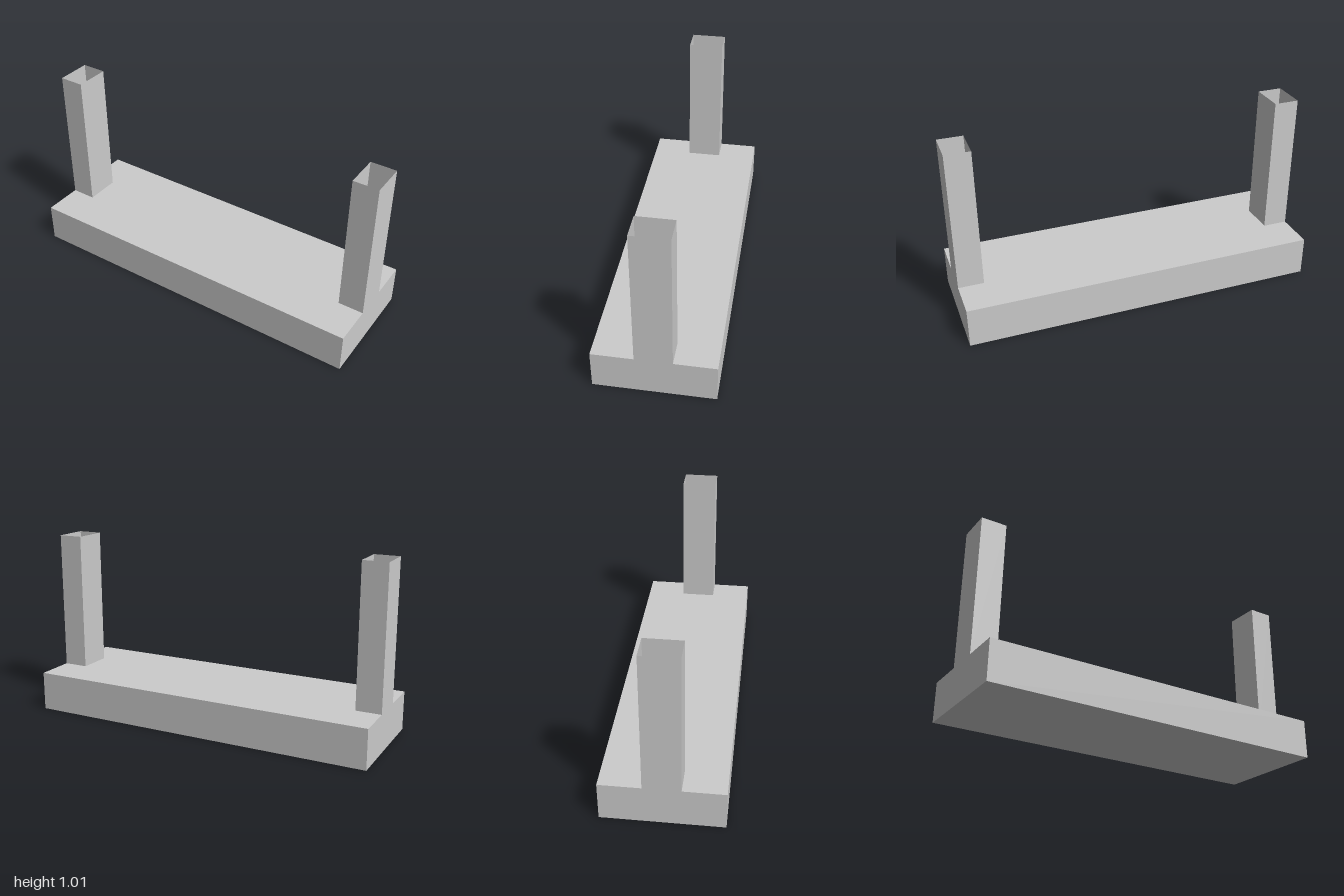
import * as THREE from 'three';

const BASE = { width: 2, height: 0.222, depth: 0.648 };
const POST = { width: 0.142, height: 0.793, depth: 0.198 };

// Four-walled square tube: a box without its top and bottom faces
function openTube(width, height, depth) {
  const geometry = new THREE.BoxGeometry(width, height, depth);
  const index = Array.from(geometry.index.array);
  index.splice(12, 12); // the +y and -y faces
  geometry.setIndex(index);
  geometry.clearGroups();
  return geometry;
}

export function createModel() {
  const model = new THREE.Group();
  model.name = 'baseWithPosts';
  const solid = new THREE.MeshStandardMaterial({ color: 0xcccccc, flatShading: true });
  const thin = new THREE.MeshStandardMaterial({ color: 0xcccccc, flatShading: true, side: THREE.DoubleSide });

  // Flat slab
  const base = new THREE.Mesh(new THREE.BoxGeometry(BASE.width, BASE.height, BASE.depth), solid);
  base.name = 'base';
  base.position.y = BASE.height / 2;
  model.add(base);

  // Hollow posts, flush with the ends of the slab
  const postGeometry = openTube(POST.width, POST.height, POST.depth);
  for (const [name, side] of [['leftPost', 1], ['rightPost', -1]]) {
    const post = new THREE.Mesh(postGeometry, thin);
    post.name = name;
    post.position.set(side * (BASE.width - POST.width) / 2, BASE.height + POST.height / 2, 0);
    model.add(post);
  }

  return model;
}
